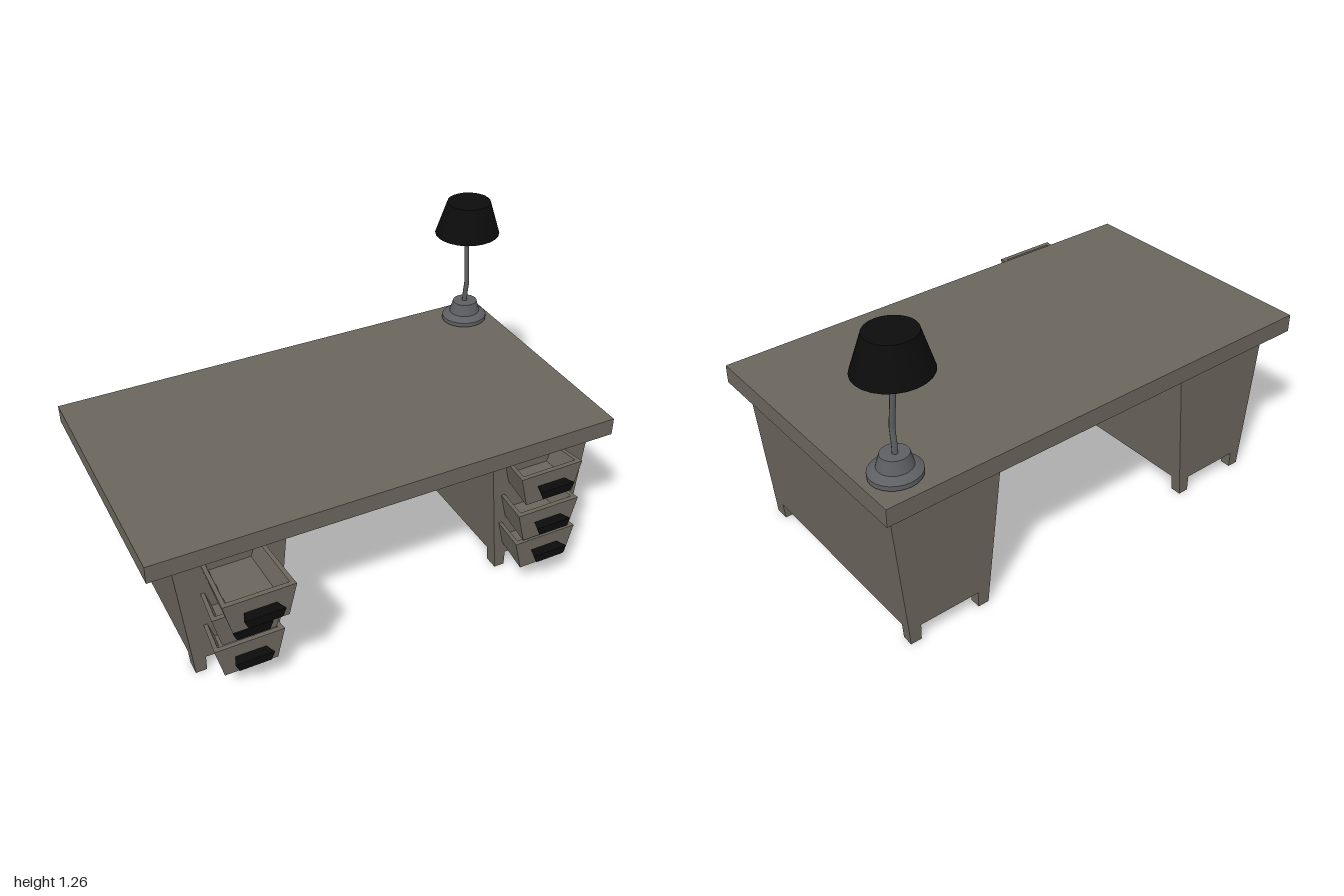
import * as THREE from 'three';
import { toCreasedNormals } from 'three/addons/utils/BufferGeometryUtils.js';

const wood = new THREE.MeshStandardMaterial({ color: 0x6b655c });
const black = new THREE.MeshStandardMaterial({ color: 0x0c0c0c });
const shadeBlack = new THREE.MeshStandardMaterial({ color: 0x0c0c0c, side: THREE.DoubleSide });
const metal = new THREE.MeshStandardMaterial({ color: 0x5e5f62 });

function add(parent, name, geometry, material, x = 0, y = 0, z = 0) {
  const mesh = new THREE.Mesh(geometry, material);
  mesh.name = name;
  mesh.position.set(x, y, z);
  parent.add(mesh);
  return mesh;
}

// Prism from z = -depth to z = 0; its back end is scaled about the origin.
function prism(points, depth, backScale = 1) {
  const shape = new THREE.Shape(points.map(([x, y]) => new THREE.Vector2(x, y)));
  const geometry = new THREE.ExtrudeGeometry(shape, { depth, bevelEnabled: false });
  geometry.translate(0, 0, -depth);
  const p = geometry.attributes.position;
  for (let i = 0; i < p.count; i++) {
    const s = 1 + (backScale - 1) * (-p.getZ(i) / depth);
    p.setXY(i, p.getX(i) * s, p.getY(i) * s);
  }
  geometry.computeVertexNormals();
  return geometry;
}

const trapezoid = (top, bottom, h) => [[-bottom, -h], [bottom, -h], [top, h], [-top, h]];

// Tapered cabinet on four short legs
function pedestal(name, x) {
  const group = new THREE.Group();
  group.name = name;
  group.position.x = x;
  const legTop = 0.068, foot = 0.175, knee = 0.181, top = 0.233;
  add(group, 'cabinet', prism([[-knee, legTop], [knee, legTop], [top, 0.61], [-top, 0.61]], 0.95), wood, 0, 0, 0.345);
  for (const side of [-1, 1]) {
    const outline = [[0.129, 0], [foot, 0], [knee, legTop], [0.129, legTop]].map(([px, py]) => [px * side, py]);
    add(group, 'frontLeg', prism(outline, 0.06), wood, 0, 0, 0.345);
    add(group, 'backLeg', prism(outline, 0.045), wood, 0, 0, -0.56);
  }
  return group;
}

// Open tray with a solid front and a flared handle
function drawer(x, y, z) {
  const group = new THREE.Group();
  group.name = 'drawer';
  group.position.set(x, y, z);
  const t = 0.142, b = 0.109, h = 0.068, wall = 0.018;
  const panel = 0.02, length = z - 0.335, frontScale = 0.985;
  add(group, 'drawerFront', prism(trapezoid(t, b, h), panel, frontScale), wood);
  const u = [[-b, -h], [b, -h], [t, h], [t - wall, h], [b - wall + 0.006, -h + 0.05],
    [-b + wall - 0.006, -h + 0.05], [-t + wall, h], [-t, h]].map(([px, py]) => [px * frontScale, py * frontScale]);
  add(group, 'drawerTray', prism(u, length - panel, 0.88), wood, 0, 0, -panel);
  add(group, 'handle', prism(trapezoid(0.08, 0.065, 0.018), 0.046, 0.78), black, 0, -0.003, 0.045);
  return group;
}

function lamp() {
  const group = new THREE.Group();
  group.name = 'lamp';
  group.position.set(0.854, 0, 0);
  const lathe = (pts) => toCreasedNormals(
    new THREE.LatheGeometry(pts.map(([r, y]) => new THREE.Vector2(r, y)), 24), 0.5);

  // Stepped base
  const base = add(group, 'lampBase', lathe([[0, 0.703], [0.1, 0.703], [0.1, 0.722], [0.077, 0.738],
    [0.068, 0.74], [0.054, 0.79], [0, 0.79]]), metal, 0, 0, -0.521);
  base.scale.z = 0.93;

  // Bent arm
  const bends = [[0.785, -0.524], [0.83, -0.522], [0.89, -0.515], [1.07, -0.536], [1.12, -0.538], [1.26, -0.538]]
    .map(([y, z]) => new THREE.Vector3(0, y, z));
  const path = new THREE.CatmullRomCurve3(bends, false, 'catmullrom', 0.15);
  add(group, 'lampArm', new THREE.TubeGeometry(path, 32, 0.011, 8), metal);

  // Shade, open below
  const shade = add(group, 'lampShade', lathe([[0.142, 1.12], [0.095, 1.265], [0, 1.265]]), shadeBlack, 0, 0, -0.538);
  shade.scale.z = 0.95;
  return group;
}

export function createModel() {
  const model = new THREE.Group();
  model.name = 'desk';

  add(model, 'tableTop', new THREE.BoxGeometry(1.98, 0.075, 1.09), wood, -0.01, 0.658, -0.105);
  model.add(pedestal('rightPedestal', -0.655), pedestal('leftPedestal', 0.708));

  // Drawer columns; the top right drawer is pulled out
  const rows = [
    [-0.657, 0.517, 0.635], [-0.657, 0.338, 0.505], [-0.657, 0.178, 0.505],
    [0.657, 0.515, 0.497], [0.657, 0.334, 0.503], [0.657, 0.186, 0.503],
  ];
  for (const [x, y, z] of rows) model.add(drawer(x, y, z));

  model.add(lamp());
  return model;
}
